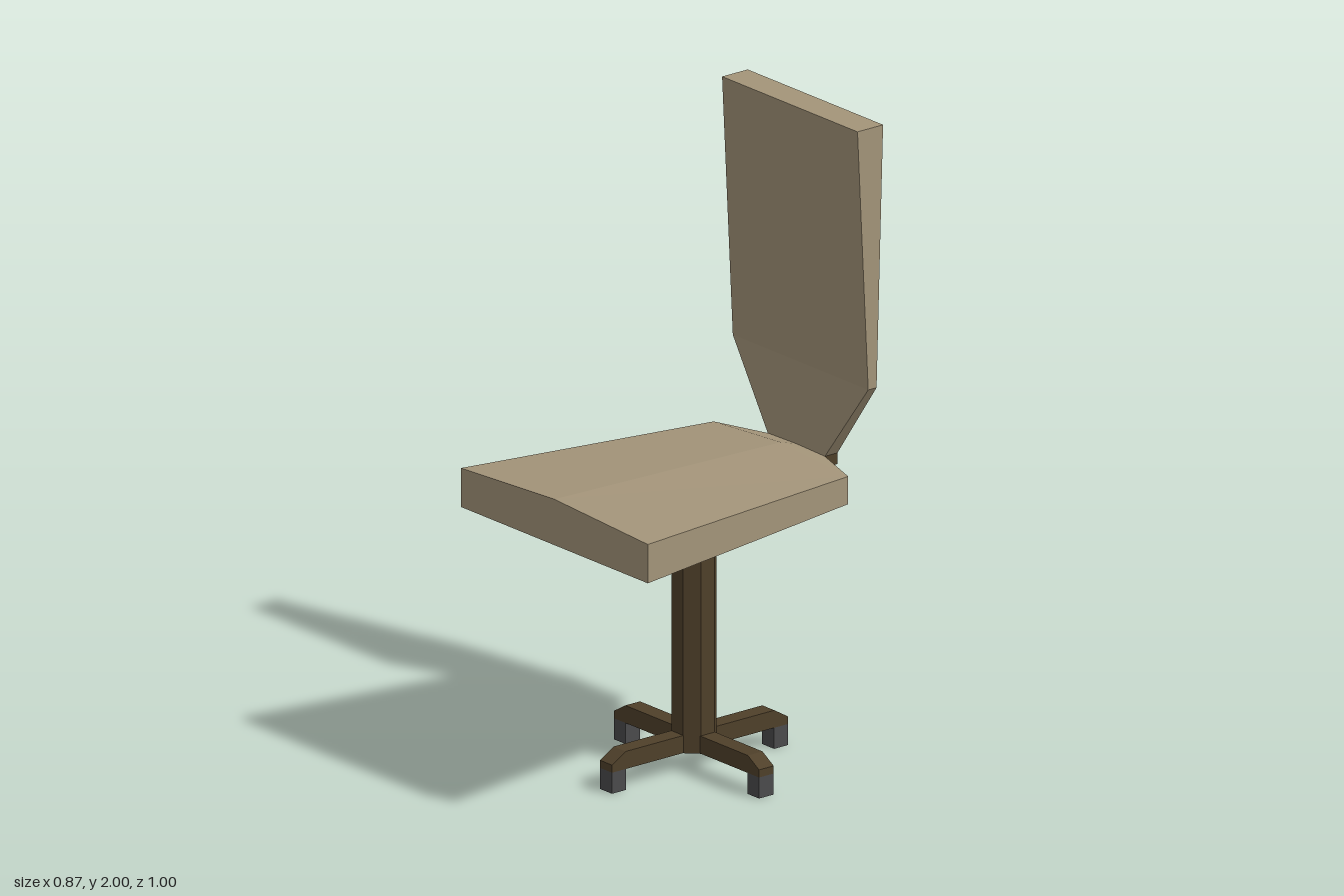
import * as THREE from 'three';

// Skin a list of closed rings (counterclockwise about the direction of travel), faceted, with end caps
function loft(rings) {
  const pos = [];
  const tri = (a, b, c) => pos.push(...a, ...b, ...c);
  const n = rings[0].length;
  for (let r = 0; r < rings.length - 1; r++) {
    const a = rings[r], b = rings[r + 1];
    for (let i = 0; i < n; i++) {
      const j = (i + 1) % n;
      tri(a[i], a[j], b[j]);
      tri(a[i], b[j], b[i]);
    }
  }
  const first = rings[0], last = rings[rings.length - 1];
  for (let i = 1; i < n - 1; i++) {
    tri(first[0], first[i + 1], first[i]);
    tri(last[0], last[i], last[i + 1]);
  }
  const g = new THREE.BufferGeometry();
  g.setAttribute('position', new THREE.Float32BufferAttribute(pos, 3));
  g.computeVertexNormals();
  return g;
}

export function createModel() {
  const cushion = new THREE.MeshStandardMaterial({ color: 0xa39479 });
  cushion.name = 'tan cushion';
  const frame = new THREE.MeshStandardMaterial({ color: 0x4f402a });
  frame.name = 'dark brown frame';
  const rubber = new THREE.MeshStandardMaterial({ color: 0x4b4b4c });
  rubber.name = 'grey foot';

  const model = new THREE.Group();
  model.name = 'swivelChair';
  const add = (parent, name, geometry, material, x = 0, y = 0, z = 0) => {
    const m = new THREE.Mesh(geometry, material);
    m.name = name;
    m.position.set(x, y, z);
    parent.add(m);
    return m;
  };

  // Seat: slightly ridged wedge, widest at the front, pinched at the back
  // z, half width, bottom, side top, ridge top
  const seat = [
    [-0.427, 0.133, 0.89, 0.925, 0.928],
    [-0.368, 0.313, 0.838, 0.925, 0.946],
    [0.5, 0.435, 0.82, 0.942, 0.964],
  ].map(([z, w, b, s, t]) => [[-w, b, z], [w, b, z], [w, s, z], [0, t, z], [-w, s, z]]);
  add(model, 'seat', loft(seat), cushion);

  // Backrest: tapers down to the bracket, thickest at the top
  // y, half width, front z, back z
  const back = [
    [0.925, 0.133, -0.427, -0.475],
    [1.18, 0.315, -0.443, -0.475],
    [2, 0.315, -0.402, -0.5],
  ].map(([y, w, f, b]) => [[-w, y, f], [w, y, f], [w, y, b], [-w, y, b]]);
  add(model, 'backrest', loft(back), cushion);

  // Bracket joining seat and backrest
  add(model, 'backBracket', new THREE.BoxGeometry(0.266, 0.035, 0.048), frame, 0, 0.9075, -0.451);

  // Eight-sided column
  const base = new THREE.Group();
  base.name = 'base';
  base.position.set(-0.004, 0, -0.038);
  model.add(base);
  const radius = 0.064 / Math.cos(Math.PI / 8);
  const column = new THREE.CylinderGeometry(radius, radius, 0.768, 8)
    .rotateY(Math.PI / 8).toNonIndexed();
  column.computeVertexNormals();
  add(base, 'column', column, frame, 0, 0.449, 0);

  // Four legs with chamfered tips, each on a foot
  const profile = new THREE.Shape([
    [0.05, 0.066], [0.337, 0.066], [0.337, 0.09], [0.285, 0.121], [0.05, 0.121],
  ].map(([x, y]) => new THREE.Vector2(x, y)));
  const legGeometry = new THREE.ExtrudeGeometry(profile, { depth: 0.056, bevelEnabled: false })
    .translate(0, 0, -0.028);
  const footGeometry = new THREE.BoxGeometry(0.053, 0.066, 0.056);
  for (let i = 0; i < 4; i++) {
    const leg = new THREE.Group();
    leg.name = 'leg' + (i + 1);
    leg.rotation.y = i * Math.PI / 2;
    add(leg, 'legBar', legGeometry, frame);
    add(leg, 'foot', footGeometry, rubber, 0.3105, 0.033, 0);
    base.add(leg);
  }
  return model;
}
